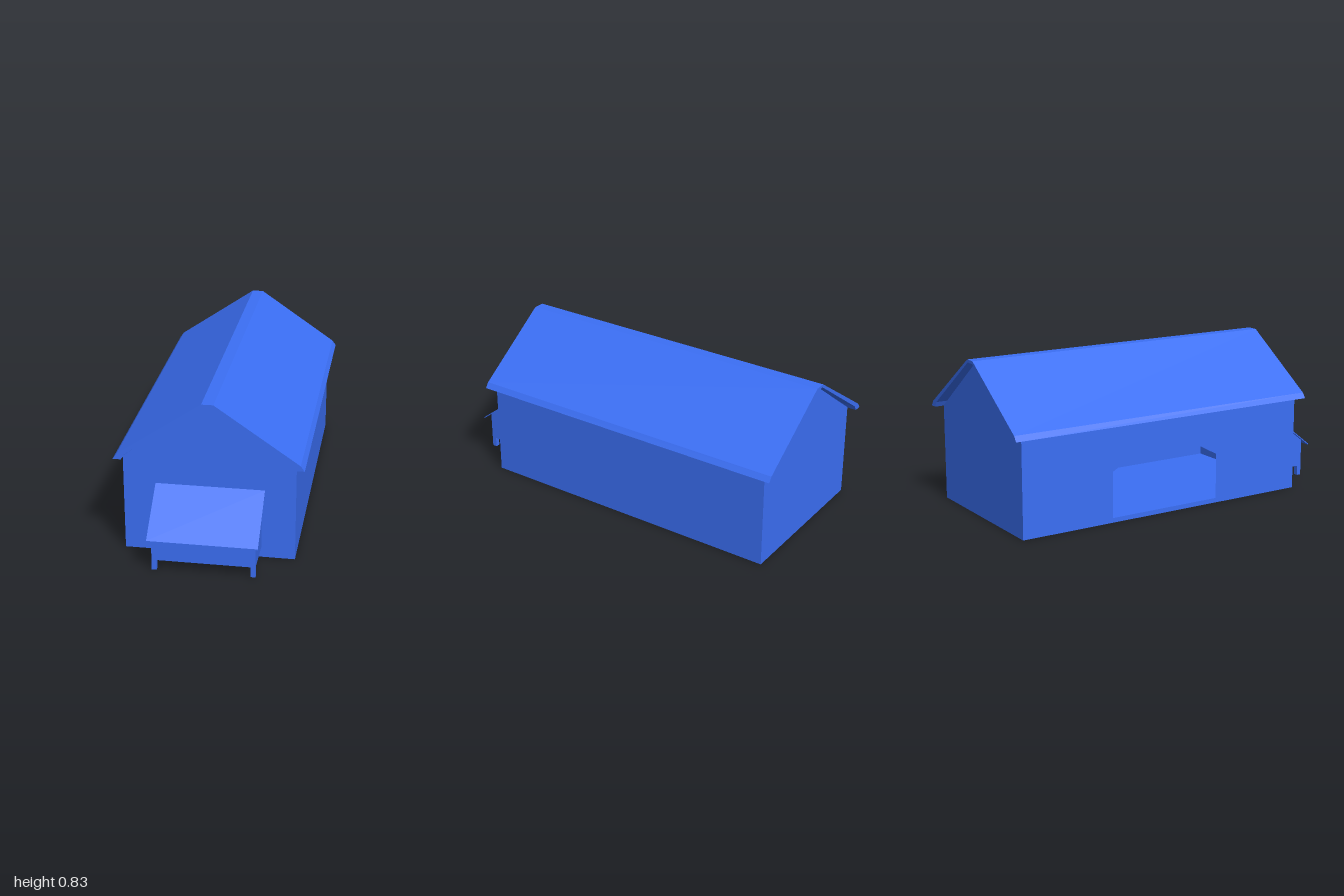
import * as THREE from 'three';

const BLUE = 0x3b6ff5;
const solid = new THREE.MeshStandardMaterial({ color: BLUE, flatShading: true });
const thin = new THREE.MeshStandardMaterial({ color: BLUE, flatShading: true, side: THREE.DoubleSide });

const vectors = (points) => points.map(([x, y]) => new THREE.Vector2(x, y));
const outline = (points) => new THREE.Shape(vectors(points));
const mirrored = (half) => [...half, ...half.map(([x, y]) => [-x, y]).reverse()];

function add(parent, name, geometry, material = solid) {
  const mesh = new THREE.Mesh(geometry, material);
  mesh.name = name;
  parent.add(mesh);
  return mesh;
}

// Extrude a front (x, y) outline from z0 to z1
function alongZ(points, z0, z1) {
  return new THREE.ExtrudeGeometry(outline(points), { depth: z1 - z0, bevelEnabled: false }).translate(0, 0, z0);
}

// Extrude a side (z, y) outline from x0 to x1
function alongX(points, x0, x1) {
  return new THREE.ExtrudeGeometry(outline(points), { depth: x1 - x0, bevelEnabled: false })
    .rotateY(-Math.PI / 2).translate(x1, 0, 0);
}

function createHouse() {
  const house = new THREE.Group();
  house.name = 'house';
  const W = 0.437, EAVE = 0.515, BACK = -0.95, FRONT = 0.75;
  const depth = FRONT - BACK, midZ = (FRONT + BACK) / 2;

  // Thin gable walls
  const gable = outline(mirrored([[W, 0], [W, EAVE], [0.028, 0.82]]));
  add(house, 'frontWall', new THREE.ShapeGeometry(gable).translate(0, 0, FRONT), thin);
  add(house, 'backWall', new THREE.ShapeGeometry(gable).rotateY(Math.PI).translate(0, 0, BACK), thin);

  // Side walls, one with an arched doorway
  for (const side of [1, -1]) {
    const wall = outline([[BACK, 0], [FRONT, 0], [FRONT, EAVE], [BACK, EAVE]]);
    if (side < 0) {
      wall.holes.push(new THREE.Path(vectors([
        [-0.43, 0.025], [-0.43, 0.27], [-0.21, 0.39], [0, 0.39], [0.22, 0.27], [0.22, 0.025],
      ])));
    }
    add(house, side > 0 ? 'leftWall' : 'rightWallWithDoorway',
      new THREE.ShapeGeometry(wall).rotateY(-Math.PI / 2).translate(side * W, 0, 0), thin);
  }

  add(house, 'floor', new THREE.PlaneGeometry(2 * W, depth).rotateX(-Math.PI / 2).translate(0, 0, midZ), thin);

  // Roof shell with flat ridge and turned-down eaves
  const outer = mirrored([[0.48, 0.513], [0.46, 0.541], [0.03, 0.835]]);
  const inner = mirrored([[0.437, 0.513], [0.421, 0.541], [0.025, 0.82]]).reverse();
  add(house, 'roof', alongZ([...outer, ...inner], -1, 0.79));
  return house;
}

function createNestBox() {
  const box = new THREE.Group();
  box.name = 'nestBox';
  const X0 = -0.257, X1 = 0.265, LEG = 0.025;

  // Body with a sloping top against the front wall
  add(box, 'nestBoxBody', alongX([[0.75, 0.055], [0.96, 0.055], [0.96, 0.205], [0.75, 0.368]], X0, X1));

  // Thin sloping lid
  add(box, 'nestBoxLid', alongX([[0.75, 0.368], [1, 0.174], [1, 0.181], [0.75, 0.376]], -0.273, 0.281));

  // Front legs
  for (const x of [X0 + LEG / 2, X1 - LEG / 2]) {
    add(box, 'nestBoxLeg', new THREE.BoxGeometry(LEG, 0.056, LEG)).position.set(x, 0.028, 0.96 - LEG / 2);
  }
  return box;
}

export function createModel() {
  const model = new THREE.Group();
  model.name = 'coop';
  model.add(createHouse(), createNestBox());
  return model;
}
